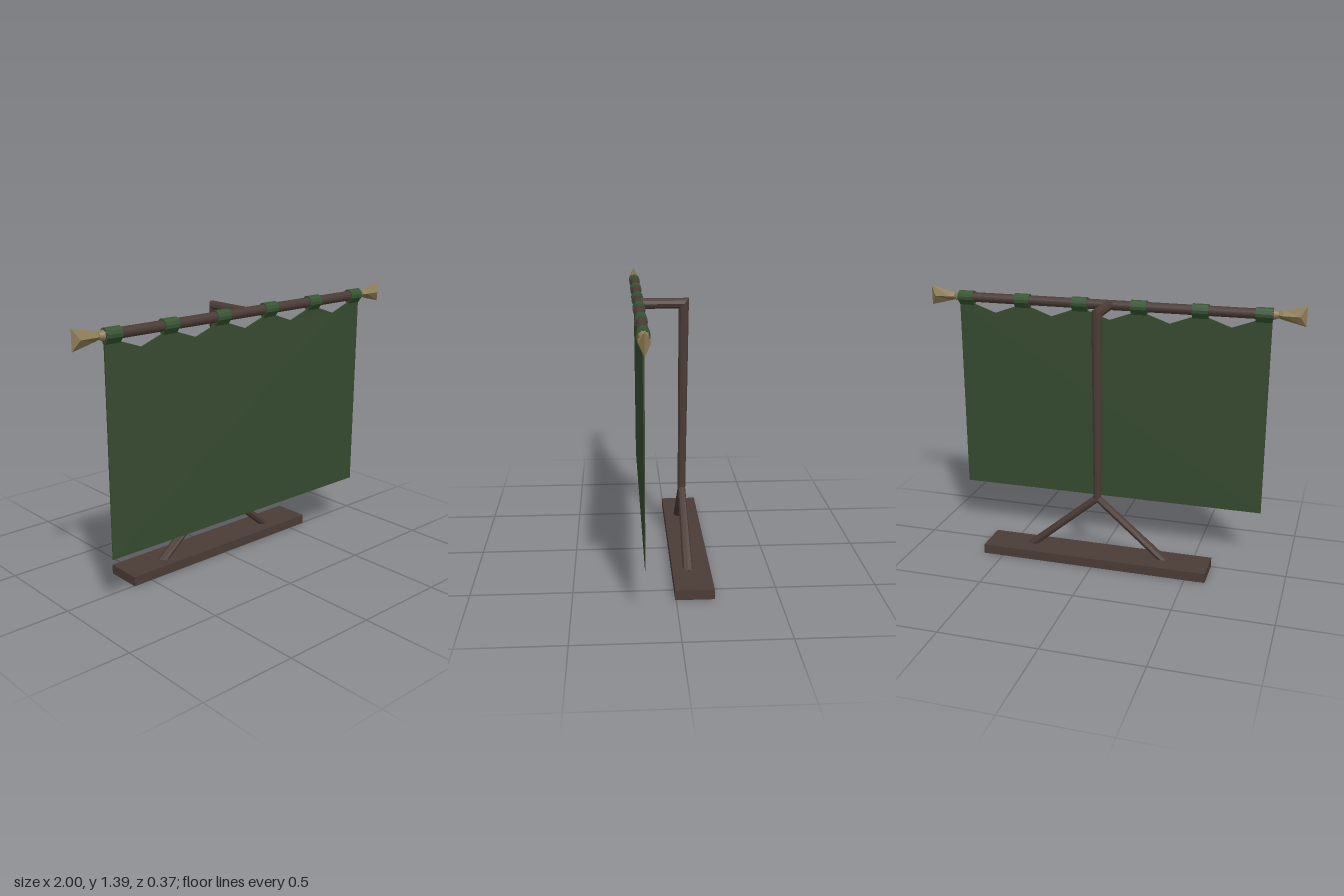
import * as THREE from 'three';

const wood = new THREE.MeshStandardMaterial({ name: 'dark wood', color: 0x4b3c35, side: THREE.DoubleSide });
const cloth = new THREE.MeshStandardMaterial({ name: 'green cloth', color: 0x374b30 });
const loopCloth = new THREE.MeshStandardMaterial({ name: 'loop green', color: 0x365532 });
const brass = new THREE.MeshStandardMaterial({ name: 'dull brass', color: 0x8c7b55 });

const ROD_Y = 1.337, ROD_Z = 0.155, POST_Z = -0.075;
const V = (x, y, z) => new THREE.Vector3(x, y, z);

function add(parent, name, geometry, material) {
  const mesh = new THREE.Mesh(geometry, material);
  mesh.name = name;
  parent.add(mesh);
  return mesh;
}

// Round bar through rings given as [centre, axis u, axis v]; u x v points along the bar
function bar(rings, sides = 10) {
  const pos = [], index = [];
  rings.forEach(([c, u, v], r) => {
    for (let i = 0; i < sides; i++) {
      const a = (i / sides) * Math.PI * 2;
      const p = c.clone().addScaledVector(u, Math.cos(a)).addScaledVector(v, Math.sin(a));
      pos.push(p.x, p.y, p.z);
      if (r === 0) continue;
      const j = (i + 1) % sides, lo = (r - 1) * sides, hi = r * sides;
      index.push(lo + i, lo + j, hi + j, lo + i, hi + j, hi + i);
    }
  });
  // End caps
  const last = (rings.length - 1) * sides;
  for (let i = 1; i < sides - 1; i++) {
    index.push(0, i + 1, i, last, last + i, last + i + 1);
  }
  const g = new THREE.BufferGeometry();
  g.setAttribute('position', new THREE.Float32BufferAttribute(pos, 3));
  g.setIndex(index);
  return g;
}

function smooth(g) {
  g.computeVertexNormals();
  return g;
}

function faceted(g) {
  const flat = g.toNonIndexed();
  flat.computeVertexNormals();
  return flat;
}

function buildStand() {
  const stand = new THREE.Group();
  stand.name = 'stand';

  // Base board, hollow and open underneath
  const box = new THREE.BoxGeometry(1.214, 0.05, 0.192);
  const faces = Array.from(box.index.array);
  faces.splice(18, 6);
  box.setIndex(faces);
  box.clearGroups();
  add(stand, 'base', box, wood).position.set(0, 0.025, -0.091);

  // Upright post with a mitred elbow into the forward arm
  const r = 0.027;
  const post = bar([
    [V(0, 0.34, -0.067), V(0.021, 0, 0), V(0, 0, -0.021)],
    [V(0, ROD_Y, POST_Z), V(r, 0, 0), V(0, r, -r)],
    [V(0, ROD_Y, ROD_Z - 0.01), V(r, 0, 0), V(0, r, 0)],
  ]);
  add(stand, 'post and arm', faceted(post), wood);

  // Two splayed legs
  for (const s of [1, -1]) {
    const top = V(0, 0.35, -0.067), foot = V(s * 0.375, 0.035, POST_Z);
    const dir = foot.clone().sub(top).normalize();
    const side = V(0, 0, 1), across = dir.clone().cross(side).normalize();
    const leg = bar([
      [top, side.clone().multiplyScalar(0.02), across.clone().multiplyScalar(0.02)],
      [foot, side.clone().multiplyScalar(0.027), across.clone().multiplyScalar(0.021)],
    ], 8);
    add(stand, s > 0 ? 'leftLeg' : 'rightLeg', faceted(leg), wood);
  }
  return stand;
}

// Fishtail finial pointing to +x, with a round collar
function buildFinial() {
  const finial = new THREE.Group();
  const collar = new THREE.CylinderGeometry(0.017, 0.027, 0.03, 10);
  add(finial, 'collar', collar.rotateZ(-Math.PI / 2), brass).position.x = 0.85;

  const ring = (x, tipX, h, w) => [[tipX, h, 0], [x, 0, w], [tipX, -h, 0], [x, 0, -w]];
  const pts = [...ring(0.86, 0.86, 0.016, 0.016), ...ring(0.885, 0.885, 0.024, 0.026),
    ...ring(0.97, 1, 0.052, 0.027)];
  const index = [0, 3, 2, 0, 2, 1, 8, 9, 10, 8, 10, 11];
  for (const k of [0, 4]) {
    for (let i = 0; i < 4; i++) {
      const j = (i + 1) % 4;
      index.push(k + i, k + j, k + 4 + j, k + i, k + 4 + j, k + 4 + i);
    }
  }
  const g = new THREE.BufferGeometry();
  g.setAttribute('position', new THREE.Float32BufferAttribute(pts.flat(), 3));
  g.setIndex(index);
  add(finial, 'fishtail', faceted(g), brass);
  return finial;
}

function buildBanner() {
  const banner = new THREE.Group();
  banner.name = 'banner';
  banner.position.z = ROD_Z;

  // Hanging rod
  const rod = new THREE.CylinderGeometry(0.0265, 0.0265, 1.68, 12).rotateZ(Math.PI / 2);
  add(banner, 'rod', rod, wood).position.y = ROD_Y;

  // Finials on both ends
  for (const s of [1, -1]) {
    const finial = buildFinial();
    finial.name = s > 0 ? 'leftFinial' : 'rightFinial';
    finial.position.y = ROD_Y;
    if (s < 0) finial.rotation.y = Math.PI;
    banner.add(finial);
  }

  // Cloth with a scalloped top edge, thinning toward the hem
  const half = 0.835, bottom = 0.27, tabW = 0.083, step = (2 * half - tabW) / 5;
  const outline = new THREE.Shape();
  outline.moveTo(-half, bottom);
  outline.lineTo(half, bottom);
  for (let i = 0; i < 6; i++) {
    const x = half - i * step;
    outline.lineTo(x, 1.3);
    outline.lineTo(x - tabW, 1.3);
    if (i < 5) outline.lineTo(x - (tabW + step) / 2, 1.258);
  }
  const sheet = new THREE.ExtrudeGeometry(outline, { depth: 1, bevelEnabled: false });
  sheet.translate(0, 0, -0.5);
  const p = sheet.attributes.position;
  for (let i = 0; i < p.count; i++) {
    const t = (p.getY(i) - bottom) / (1.3 - bottom);
    p.setZ(i, p.getZ(i) * (0.002 + 0.007 * t));
  }
  add(banner, 'cloth', smooth(sheet), cloth);

  // Loops around the rod, drawn together where they meet the cloth
  const profile = new THREE.Shape();
  profile.moveTo(0.006, -0.042);
  for (let i = 0; i <= 8; i++) {
    const a = -0.35 + (i / 8) * (Math.PI + 0.7);
    profile.lineTo(Math.cos(a) * 0.031, Math.sin(a) * 0.034);
  }
  profile.lineTo(-0.006, -0.042);
  const loop = new THREE.ExtrudeGeometry(profile, { depth: tabW, bevelEnabled: false });
  loop.translate(0, 0, -tabW / 2).rotateY(Math.PI / 2);
  for (let i = 0; i < 6; i++) {
    add(banner, 'loop' + (i + 1), loop, loopCloth).position.set(-half + tabW / 2 + i * step, ROD_Y, 0);
  }
  return banner;
}

export function createModel() {
  const model = new THREE.Group();
  model.name = 'bannerStand';
  model.add(buildStand(), buildBanner());
  return model;
}
